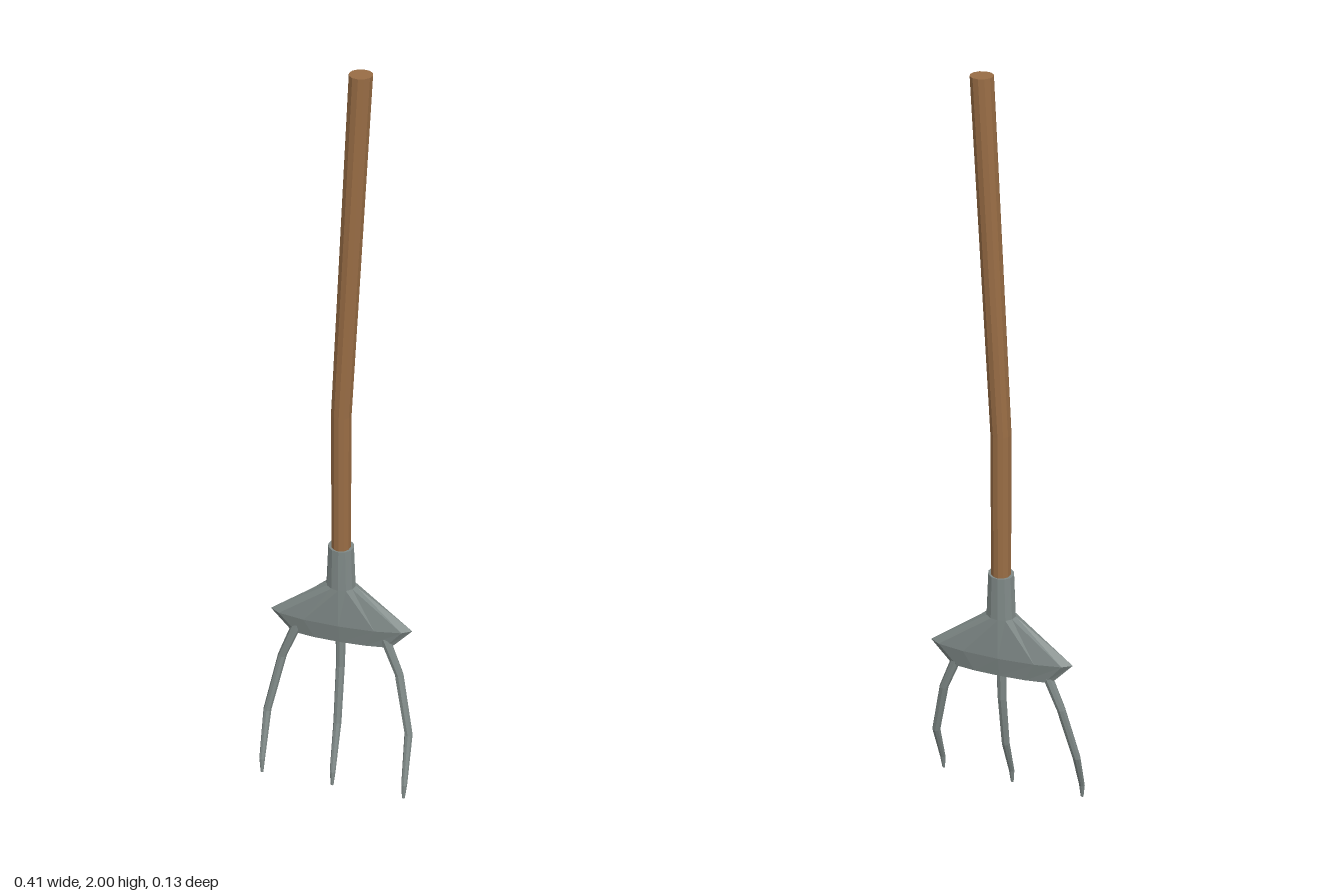
import * as THREE from 'three';

const wood = new THREE.MeshStandardMaterial({ color: 0x996d45, flatShading: true });
const metal = new THREE.MeshStandardMaterial({ color: 0x808a88, flatShading: true });

// Skin over horizontal elliptical rings [x, y, z, radiusX, radiusZ], listed bottom to top
function loft(name, rings, sides, material) {
  const pos = [], index = [];
  for (const [x, y, z, rx, rz] of rings) {
    for (let i = 0; i < sides; i++) {
      const a = (i / sides) * Math.PI * 2;
      pos.push(x + Math.cos(a) * rx, y, z + Math.sin(a) * rz);
    }
  }
  for (let r = 0; r < rings.length - 1; r++) {
    for (let i = 0; i < sides; i++) {
      const a = r * sides + i, b = r * sides + (i + 1) % sides;
      index.push(a, a + sides, b, b, a + sides, b + sides);
    }
  }
  // End caps
  const top = (rings.length - 1) * sides;
  for (let i = 1; i < sides - 1; i++) {
    index.push(0, i, i + 1, top, top + i + 1, top + i);
  }
  const geometry = new THREE.BufferGeometry();
  geometry.setAttribute('position', new THREE.Float32BufferAttribute(pos, 3));
  geometry.setIndex(index);
  geometry.computeVertexNormals();
  const mesh = new THREE.Mesh(geometry, material);
  mesh.name = name;
  return mesh;
}

export function createModel() {
  const group = new THREE.Group();
  group.name = 'pitchfork';
  const z = -0.034;

  // Slightly bent wooden handle
  group.add(loft('handle', [
    [0, 0.7, z, 0.025, 0.026],
    [0, 1.14, z, 0.025, 0.026],
    [0.041, 2, z, 0.026, 0.026],
  ], 12, wood));

  // Socket flaring into the flat head
  group.add(loft('head', [
    [0, 0.44, z, 0.135, 0.016],
    [0, 0.503, z, 0.187, 0.029],
    [0, 0.622, z, 0.038, 0.03],
    [0, 0.745, z, 0.033, 0.029],
  ], 12, metal));

  // Curved tines: the outer pair spreads sideways, the middle one stays straight
  const tine = (name, side) => loft(name, [
    [0.196, 0, 0.061, 0.004, 0.003],
    [0.196, 0.045, 0.055, 0.008, 0.007],
    [0.193, 0.18, 0.003, 0.011, 0.011],
    [0.157, 0.355, -0.028, 0.012, 0.012],
    [0.115, 0.47, -0.032, 0.014, 0.013],
  ].map(([x, ...rest]) => [x * side, ...rest]), 8, metal);
  group.add(tine('leftTine', 1), tine('middleTine', 0), tine('rightTine', -1));

  return group;
}
